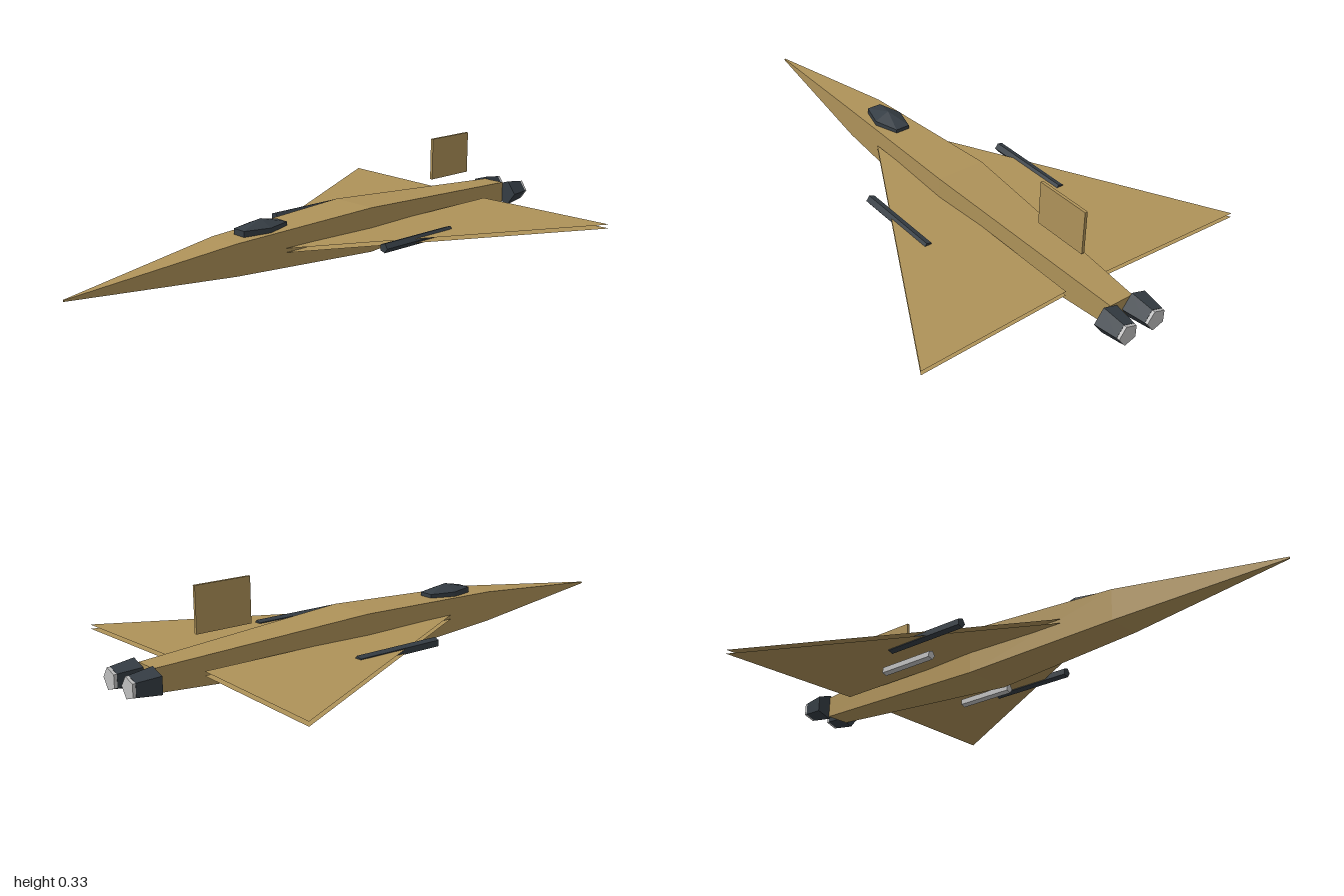
import * as THREE from 'three';

export function createModel() {
  const mat = (name, color) => {
    const m = new THREE.MeshStandardMaterial({ color, flatShading: true });
    m.name = name;
    return m;
  };
  const tan = mat('sand tan', 0xae9259);
  const dark = mat('dark slate', 0x353d44);
  const grey = mat('light grey', 0xc0c0c0);
  const tanSheet = mat('sand tan sheet', 0xae9259);
  tanSheet.side = THREE.DoubleSide;

  const model = new THREE.Group();
  model.name = 'deltaJet';
  const add = (name, geometry, material, x = 0, y = 0, z = 0) => {
    const mesh = new THREE.Mesh(geometry, material);
    mesh.name = name;
    mesh.position.set(x, y, z);
    model.add(mesh);
    return mesh;
  };
  const surface = (points, index) => {
    const g = new THREE.BufferGeometry();
    g.setAttribute('position', new THREE.Float32BufferAttribute(points, 3));
    g.setIndex(index);
    const flat = g.toNonIndexed();
    flat.computeVertexNormals();
    return flat;
  };
  // Five-sided barrel along z, one corner pointing to +x
  const barrel = (front, back, length) =>
    new THREE.CylinderGeometry(front, back, length, 5).rotateX(Math.PI / 2).rotateZ(Math.PI / 2);

  // Fuselage: rectangular sections [z, half width, bottom, top], nose to tail
  const sections = [
    [1, 0.002, 0.068, 0.073],
    [0.42, 0.061, 0.03, 0.136],
    [-0.15, 0.087, 0.002, 0.158],
    [-0.91, 0.043, 0.042, 0.118],
  ];
  const points = [], index = [0, 1, 2, 0, 2, 3];
  sections.forEach(([z, w, b, t], s) => {
    points.push(w, t, z, -w, t, z, -w, b, z, w, b, z);
    if (s === 0) return;
    const f = (s - 1) * 4, r = s * 4;
    for (let i = 0; i < 4; i++) {
      const j = (i + 1) % 4;
      index.push(f + i, r + i, r + j, f + i, r + j, f + j);
    }
  });
  const tail = (sections.length - 1) * 4;
  index.push(tail, tail + 2, tail + 1, tail, tail + 3, tail + 2);
  add('fuselage', surface(points, index), tan);

  // Canopy: faceted six-sided dome
  add('canopy', new THREE.SphereGeometry(1, 6, 3).rotateY(Math.PI).scale(0.06, 0.044, 0.12), dark, 0, 0.136, 0.27);

  // Tail fin
  add('tailFin', new THREE.BoxGeometry(0.01, 0.15, 0.195), tan, 0, 0.255, -0.643);

  for (const [side, s] of [['left', 1], ['right', -1]]) {
    // Delta wing: open upper and lower skins
    for (const [skin, y, up] of [['Upper', 0.087, 1], ['Lower', 0.073, -1]]) {
      const wing = [s * 0.075, y, 0.23, s * 0.615, y, -0.78, s * 0.075, y, -0.76];
      add(side + 'Wing' + skin, surface(wing, s * up > 0 ? [0, 1, 2] : [0, 2, 1]), tanSheet);
    }
    // Long pod in the wing and missile beneath it
    add(side + 'Pod', barrel(0.017, 0.017, 0.32), dark, s * 0.27, 0.08, -0.18);
    add(side + 'Missile', barrel(0.016, 0.016, 0.22), grey, s * 0.197, 0.05, -0.333);
    // Engine nozzle with its light exhaust
    add(side + 'Nozzle', barrel(0.048, 0.037, 0.08), dark, s * 0.055, 0.08, -0.95);
    add(side + 'Exhaust', barrel(0.036, 0.036, 0.012), grey, s * 0.055, 0.08, -0.994);
  }
  return model;
}
